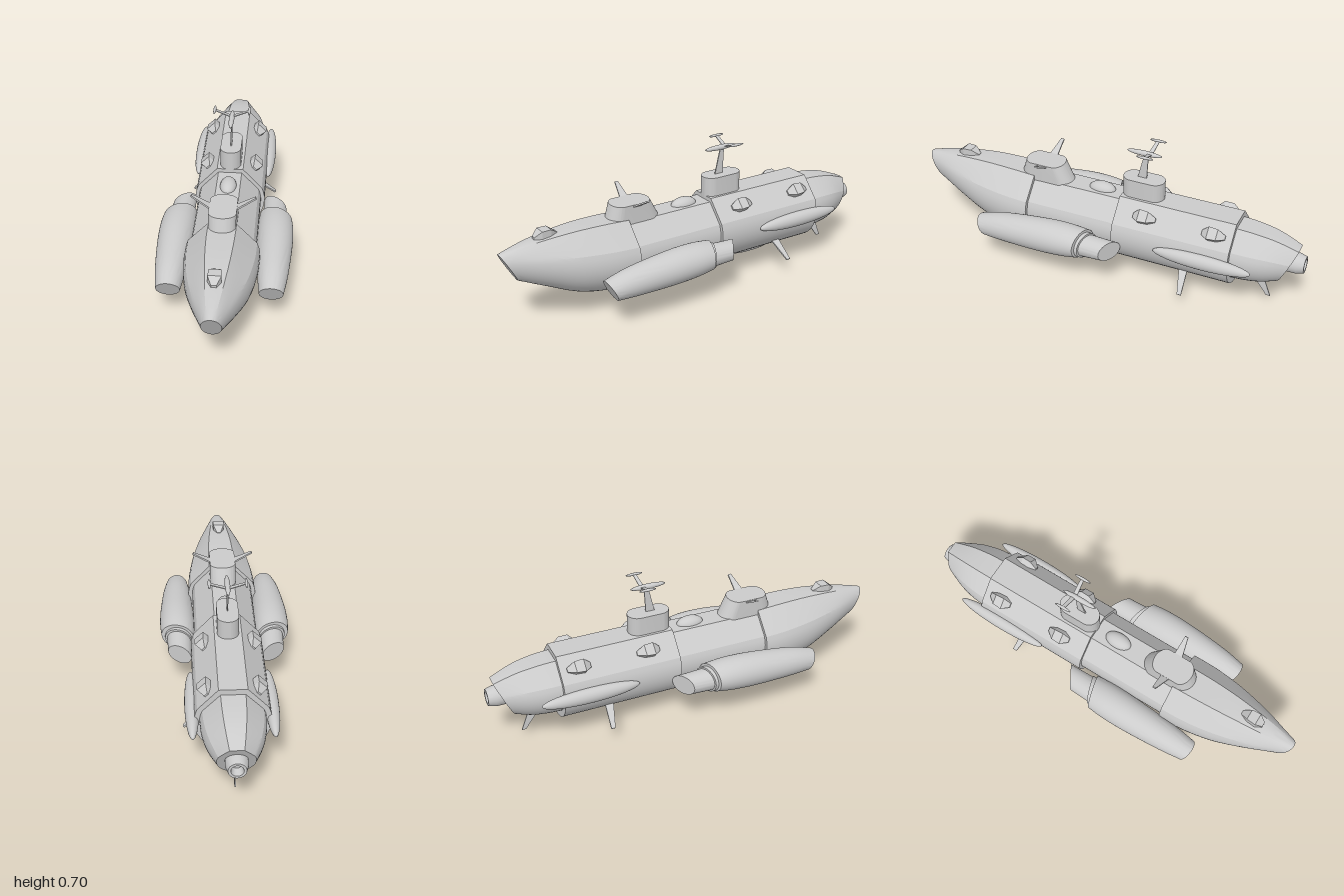
import * as THREE from 'three';
import { toCreasedNormals } from 'three/addons/utils/BufferGeometryUtils.js';
import { ConvexGeometry } from 'three/addons/geometries/ConvexGeometry.js';

const grey = new THREE.MeshStandardMaterial({ color: 0xcccccc });

function add(group, name, geometry) {
  const mesh = new THREE.Mesh(geometry, grey);
  mesh.name = name;
  group.add(mesh);
  return mesh;
}

// Normalised hull outline: round belly, slanted shoulders, flat deck
function outline() {
  const hull = [], round = [];
  const span = (n, from, to, point) => {
    for (let i = 0; i < n; i++) {
      const t = i / n, a = THREE.MathUtils.degToRad(from + (to - from) * t);
      round.push([Math.cos(a), Math.sin(a)]);
      hull.push(point ? point(t) : [Math.cos(a), Math.sin(a)]);
    }
  };
  const mix = THREE.MathUtils.lerp;
  span(6, 24, 68, t => [mix(0.914, 0.37, t), mix(0.407, 1, t)]);
  span(6, 68, 112, t => [mix(0.37, -0.37, t), 1]);
  span(6, 112, 156, t => [mix(-0.37, -0.914, t), mix(1, 0.407, t)]);
  span(28, 156, 384);
  return { hull, round };
}
const { hull, round } = outline();

function spline(p0, p1, p2, p3, t) {
  const m1 = (p2 - p0) / 2, m2 = (p3 - p1) / 2;
  return (2 * t ** 3 - 3 * t * t + 1) * p1 + (t ** 3 - 2 * t * t + t) * m1
    + (3 * t * t - 2 * t ** 3) * p2 + (t ** 3 - t * t) * m2;
}

// Loft from front to back; station: [z, x, top, bottom, halfWidth, roundness, tiltY, tiltX]
function loft(stations, steps = 4) {
  const pos = [], idx = [], n = hull.length, last = stations.length - 1;
  const rings = last * steps + 1;
  for (let r = 0; r < rings; r++) {
    const i = Math.min(Math.floor(r / steps), last - 1), t = r / steps - i;
    const at = k => stations[THREE.MathUtils.clamp(k, 0, last)];
    const [z, cx, top, bottom, w, k, ty, tx] = stations[i].map((_, c) =>
      spline(at(i - 1)[c], at(i)[c], at(i + 1)[c], at(i + 2)[c], t));
    for (let j = 0; j < n; j++) {
      const x = THREE.MathUtils.lerp(hull[j][0], round[j][0], k);
      const y = THREE.MathUtils.lerp(hull[j][1], round[j][1], k);
      pos.push(cx + x * w, (top + bottom) / 2 + y * (top - bottom) / 2, z + ty * y + tx * x);
    }
  }
  for (let j = 0; j < n; j++) {
    const k = (j + 1) % n;
    for (let r = 0; r < rings - 1; r++) {
      const a = r * n + j, b = r * n + k;
      idx.push(a, a + n, b, b, a + n, b + n);
    }
    const e = (rings - 1) * n;
    idx.push(rings * n, j, k, rings * n + 1, e + k, e + j);
  }
  for (const s of [stations[0], stations[last]]) pos.push(s[1], (s[2] + s[3]) / 2, s[0]);
  const g = new THREE.BufferGeometry();
  g.setAttribute('position', new THREE.Float32BufferAttribute(pos, 3));
  g.setIndex(idx);
  return toCreasedNormals(g, 0.32);
}

function ellipsoid(x, y, z, rx, ry, rz) {
  return new THREE.SphereGeometry(1, 24, 16).rotateX(Math.PI / 2).scale(rx, ry, rz).translate(x, y, z);
}

// Tapered thin blade between two points, chords along z
function blade(from, to, rootChord, tipChord, thick) {
  const a = new THREE.Vector3(...from), b = new THREE.Vector3(...to);
  const side = new THREE.Vector3(b.y - a.y, a.x - b.x, 0).normalize().multiplyScalar(thick / 2);
  const pts = [];
  for (const [p, c] of [[a, rootChord], [b, tipChord]])
    for (const s of [-1, 1])
      for (const f of [-1, 1])
        pts.push(p.clone().addScaledVector(side, s).add(new THREE.Vector3(0, 0, f * c / 2)));
  return new ConvexGeometry(pts);
}

// Faceted lamp housing sitting on y = 0
function lamp() {
  const pts = [];
  for (const [z, w, h] of [[0.058, 0.012, 0.004], [0.025, 0.03, 0.03], [-0.02, 0.027, 0.03], [-0.056, 0.01, 0.004]])
    for (const s of [-1, 1])
      pts.push(new THREE.Vector3(s * w, h, z), new THREE.Vector3(s * w, -0.012, z));
  return new ConvexGeometry(pts);
}

// Tower with rounded ends, its top shortened along z
function tower(halfWidth, halfLength, y0, y1, z, taper, shift) {
  const s = new THREE.Shape(), d = halfLength - halfWidth;
  s.absarc(0, d, halfWidth, 0, Math.PI);
  s.absarc(0, -d, halfWidth, Math.PI, Math.PI * 2);
  const g = new THREE.ExtrudeGeometry(s, { depth: y1 - y0, bevelEnabled: false, curveSegments: 16 });
  g.rotateX(-Math.PI / 2);
  const p = g.attributes.position;
  for (let i = 0; i < p.count; i++)
    if (p.getY(i) > 0.001) p.setZ(i, p.getZ(i) * taper + shift);
  g.translate(0, y0, z);
  return toCreasedNormals(g, 0.5);
}

export function createModel() {
  const model = new THREE.Group();
  model.name = 'submarine';

  // Hull sections
  add(model, 'bow', loft([
    [0.37, 0, 0.435, 0.093, 0.175, 0, 0, 0],
    [0.5, 0, 0.442, 0.097, 0.171, 0, 0, 0],
    [0.65, 0, 0.442, 0.125, 0.148, 0.1, 0.01, 0],
    [0.8, 0, 0.43, 0.185, 0.105, 0.4, 0.025, 0],
    [0.9, 0, 0.413, 0.227, 0.068, 0.8, 0.034, 0],
    [0.96, 0, 0.397, 0.252, 0.045, 1, 0.04, 0],
  ].reverse()));
  add(model, 'middleHull', loft([[0.4, 0, 0.418, 0.112, 0.155, 0, 0, 0], [-0.12, 0, 0.418, 0.112, 0.155, 0, 0, 0]], 1));
  add(model, 'rearHull', loft([[-0.09, 0, 0.438, 0.093, 0.173, 0, 0, 0], [-0.675, 0, 0.438, 0.093, 0.173, 0, 0, 0]], 1));
  add(model, 'stern', loft([
    [-0.65, 0, 0.412, 0.125, 0.15, 0, 0, 0],
    [-0.75, 0, 0.405, 0.128, 0.143, 0, -0.01, 0],
    [-0.84, 0, 0.387, 0.137, 0.122, 0.1, -0.025, 0],
    [-0.925, 0, 0.35, 0.155, 0.085, 0.2, -0.045, 0],
  ]));

  // Hollow exhaust ring at the stern
  const ring = [[0.05, 0.0], [0.05, 0.045], [0.04, 0.08], [0.028, 0.08], [0.02, 0.04], [0, 0.04]]
    .map(([r, y]) => new THREE.Vector2(r, y));
  add(model, 'exhaust', toCreasedNormals(
    new THREE.LatheGeometry(ring, 28).rotateX(-Math.PI / 2).translate(0, 0.265, -0.92), 0.4));

  for (const s of [1, -1]) {
    const side = s > 0 ? 'left' : 'right';
    // Side engine pod with collar and angled nozzle
    const mirrored = list => list.map(([z, x, t, b, w, k, ty, tx]) => [z, x * s, t, b, w, k, ty, tx * s]);
    add(model, side + 'Pod', loft(mirrored([
      [0.57, 0.235, 0.25, 0.147, 0.056, 1, 0.025, 0],
      [0.45, 0.237, 0.285, 0.145, 0.071, 1, 0.015, 0],
      [0.25, 0.238, 0.312, 0.147, 0.084, 1, 0, 0.005],
      [0.12, 0.237, 0.315, 0.155, 0.086, 1, 0, 0.01],
      [0.03, 0.236, 0.305, 0.168, 0.08, 1, 0, 0.02],
    ])));
    add(model, side + 'PodCollar', loft(mirrored([
      [0.06, 0.232, 0.292, 0.165, 0.068, 1, 0, 0.02], [0.01, 0.232, 0.29, 0.167, 0.066, 1, 0, 0.022]]), 1));
    add(model, side + 'PodNozzle', loft(mirrored([
      [0.04, 0.23, 0.282, 0.172, 0.06, 1, 0, 0.02], [-0.107, 0.228, 0.273, 0.177, 0.056, 1, 0, 0.033]]), 1));

    // Side blister, lamps and fins
    add(model, side + 'Blister', ellipsoid(s * 0.18, 0.265, -0.55, 0.033, 0.038, 0.24));
    for (const z of [-0.24, -0.585]) {
      const m = add(model, side + 'ShoulderLamp', lamp());
      m.position.set(s * 0.116, 0.387, z);
      m.rotation.z = -s * Math.PI / 4;
    }
    add(model, side + 'LowerFin', blade([s * 0.11, 0.162, -0.445], [s * 0.218, 0.072, -0.465], 0.045, 0.02, 0.008));
    add(model, side + 'TowerFin', blade([s * 0.05, 0.49, 0.325], [s * 0.148, 0.545, 0.315], 0.045, 0.016, 0.008));
    add(model, side + 'MastArm', blade([0, 0.665, -0.215], [s * 0.085, 0.695, -0.222], 0.022, 0.016, 0.004));
    add(model, side + 'MastTip', ellipsoid(s * 0.085, 0.695, -0.222, 0.007, 0.007, 0.042));
  }

  // Towers and mast
  add(model, 'frontTower', tower(0.064, 0.14, 0.41, 0.504, 0.322, 0.71, 0.01));
  add(model, 'rearTower', tower(0.051, 0.104, 0.42, 0.532, -0.19, 1, 0));
  add(model, 'mast', blade([0, 0.525, -0.178], [0, 0.665, -0.198], 0.046, 0.02, 0.006));
  add(model, 'mastHead', ellipsoid(0, 0.665, -0.187, 0.013, 0.013, 0.088));

  // Centreline lamps, dome and keel parts
  add(model, 'bowLamp', lamp()).position.set(0, 0.437, 0.77);
  const keelLamp = add(model, 'keelLamp', lamp());
  keelLamp.position.set(0, 0.114, 0);
  keelLamp.rotation.z = Math.PI;
  keelLamp.scale.set(1.22, 1.3, 1.35);
  add(model, 'deckDome', ellipsoid(0, 0.415, 0.028, 0.04, 0.036, 0.068));
  add(model, 'keelBlister', ellipsoid(0, 0.083, -0.38, 0.023, 0.023, 0.14));
  add(model, 'frontKeelFin', blade([0, 0.12, 0.445], [0, 0, 0.392], 0.065, 0.02, 0.006));
  add(model, 'rearKeelFin', blade([0, 0.15, -0.775], [0, 0.035, -0.84], 0.06, 0.02, 0.006));
  return model;
}
